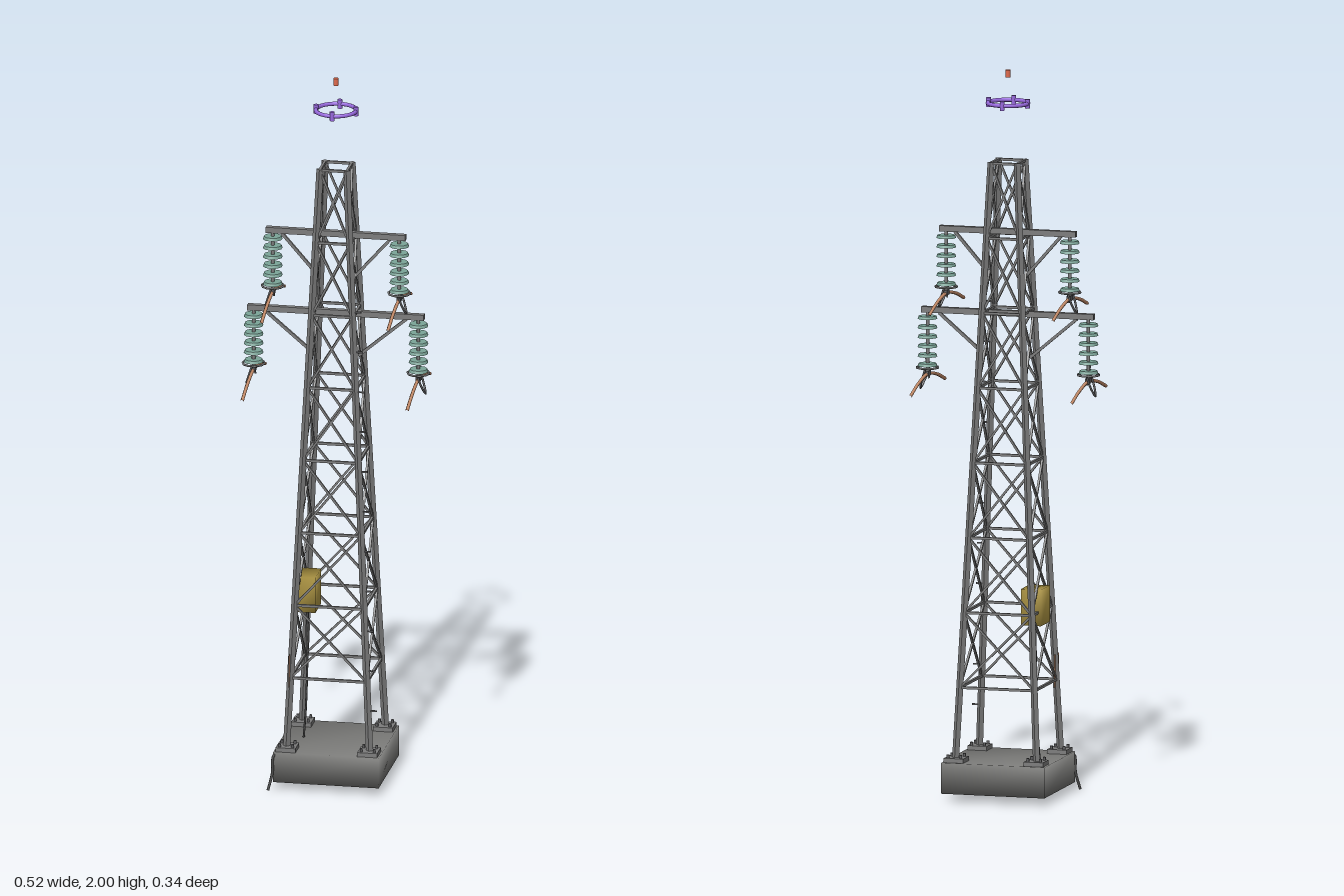
import * as THREE from 'three';
import { mergeVertices } from 'three/addons/utils/BufferGeometryUtils.js';

const material = (name, color) => {
  const m = new THREE.MeshStandardMaterial({ color });
  m.name = name;
  return m;
};
const V = (x, y, z) => new THREE.Vector3(x, y, z);

export function createModel() {
  const model = new THREE.Group();
  model.name = 'transmissionTower';

  const concrete = material('concrete', 0x7a7a78);
  const steel = material('steel', 0x7c7c7c);
  const darkSteel = material('darkSteel', 0x606062);
  const glass = material('tealGlass', 0x7ba598);
  const copper = material('copper', 0xc98f6c);
  const yellow = material('yellowPaint', 0xb39a45);
  const purple = material('purple', 0x9a6be0);
  const red = material('beaconRed', 0xe06a4c);
  const rubber = material('rubber', 0x4a4a4a);
  const signTan = material('signTan', 0xcf9a78);
  signTan.side = THREE.DoubleSide;

  const group = (name, parent = model) => {
    const g = new THREE.Group();
    g.name = name;
    parent.add(g);
    return g;
  };
  const add = (parent, name, geometry, mat, x = 0, y = 0, z = 0) => {
    const mesh = new THREE.Mesh(geometry, mat);
    mesh.name = name;
    mesh.position.set(x, y, z);
    parent.add(mesh);
    return mesh;
  };
  // Square bar between two points
  const beam = (parent, name, a, b, w, mat = steel) => {
    const mesh = add(parent, name, new THREE.BoxGeometry(w, w, a.distanceTo(b)), mat);
    mesh.position.copy(a).add(b).multiplyScalar(0.5);
    mesh.lookAt(b);
    return mesh;
  };
  const tube = (parent, name, points, r, mat) =>
    add(parent, name, new THREE.TubeGeometry(new THREE.CatmullRomCurve3(points), 14, r, 6), mat);
  // Box whose corner normals are blended
  const softBox = (w, h, d) => {
    const g = new THREE.BoxGeometry(w, h, d);
    g.deleteAttribute('normal');
    g.deleteAttribute('uv');
    const merged = mergeVertices(g);
    merged.computeVertexNormals();
    return merged;
  };

  // Tower taper
  const Y0 = 0.11, Y1 = 1.75, PANELS = 8;
  const half = (y) => 0.115 + ((y - Y0) / (Y1 - Y0)) * (0.037 - 0.115);
  const corners = [[1, 1], [1, -1], [-1, -1], [-1, 1]];
  const at = ([sx, sz], y) => V(sx * half(y), y, sz * half(y));

  // Foundation with bolted foot plates
  add(model, 'foundation', softBox(0.292, 0.085, 0.292), concrete, 0, 0.0665, 0);
  const feet = group('feet');
  for (const [sx, sz] of corners) {
    add(feet, 'footPlate', new THREE.BoxGeometry(0.055, 0.012, 0.055), steel, sx * 0.113, 0.115, sz * 0.113);
    for (const [bx, bz] of corners) {
      add(feet, 'bolt', new THREE.CylinderGeometry(0.004, 0.004, 0.01, 6), darkSteel,
        sx * 0.113 + bx * 0.018, 0.125, sz * 0.113 + bz * 0.018);
    }
  }

  // Legs
  const legs = group('legs');
  for (const c of corners) beam(legs, 'leg', at(c, Y0), at(c, Y1), 0.014);

  // Horizontal bars and crossed braces on all four faces
  const lattice = group('lattice');
  const step = (Y1 - Y0) / PANELS;
  for (let i = 1; i <= PANELS; i++) {
    const y = Y0 + i * step - 0.003;
    corners.forEach((c, k) => {
      const next = corners[(k + 1) % 4];
      beam(lattice, 'horizontalBar', at(c, y), at(next, y), 0.007);
      if (i < PANELS) {
        beam(lattice, 'crossBrace', at(c, y), at(next, y + step), 0.006);
        beam(lattice, 'crossBrace', at(next, y), at(c, y + step), 0.006);
      }
    });
  }

  // Cross arms with hanging insulators and conductors
  const discGeometry = new THREE.CylinderGeometry(0.024, 0.027, 0.008, 10);
  const arms = [
    { y: 1.331, reach: 0.244, hang: 0.228, strut: 0.195 },
    { y: 1.556, reach: 0.193, hang: 0.175, strut: 0.15 },
  ];
  for (const { y, reach, hang, strut } of arms) {
    const arm = group('crossArm');
    beam(arm, 'armBar', V(-reach, y, 0), V(reach, y, 0), 0.016);
    for (const s of [-1, 1]) {
      beam(arm, 'armStrut', V(s * strut, y - 0.008, 0), V(s * half(y - 0.12), y - 0.12, 0), 0.008);

      const string = group('insulator', arm);
      string.position.set(s * hang, y, 0);
      add(string, 'rod', new THREE.CylinderGeometry(0.005, 0.005, 0.175, 8), steel, 0, -0.088, 0);
      for (let i = 0; i < 6; i++) add(string, 'disc', discGeometry, glass, 0, -0.022 - i * 0.026, 0);
      const ring = add(string, 'gradingRing', new THREE.TorusGeometry(0.03, 0.003, 6, 10), steel, 0, -0.16, 0);
      ring.rotation.x = Math.PI / 2;
      for (const [a, b] of [[1, 0], [0, 1]]) {
        beam(string, 'ringSpoke', V(-a * 0.03, -0.16, -b * 0.03), V(a * 0.03, -0.16, b * 0.03), 0.004);
      }
      // Looped horn leaning outward
      tube(string, 'arcingHorn', [V(0, -0.16, -0.02), V(s * 0.01, -0.19, -0.018),
        V(s * 0.02, -0.218, 0), V(s * 0.01, -0.19, 0.018), V(0, -0.16, 0.02)], 0.003, darkSteel);
      add(string, 'clamp', new THREE.BoxGeometry(0.012, 0.014, 0.022), darkSteel, 0, -0.176, 0);
      tube(string, 'conductor', [V(0, -0.216, -0.167), V(0, -0.192, -0.09), V(0, -0.178, 0),
        V(0, -0.192, 0.09), V(0, -0.216, 0.167)], 0.0048, copper);
    }
  }

  // Climbing pegs on one leg
  const pegs = group('climbingPegs');
  for (let i = 0; i < 11; i++) {
    const y = 0.232 + i * 0.112, h = half(y);
    beam(pegs, 'peg', V(h, y, h), V(h + 0.025, y, h), 0.004, darkSteel);
  }

  // Equipment box, its cable, and the thin sign on the leg
  add(model, 'equipmentBox', softBox(0.057, 0.1, 0.084), yellow, -0.0775, 0.53, 0);
  tube(model, 'boxCable', [V(-0.078, 0.49, 0), V(-0.079, 0.35, 0), V(-0.083, 0.2, 0), V(-0.09, 0.1, 0)], 0.003, rubber);
  add(model, 'signPlate', new THREE.PlaneGeometry(0.048, 0.09), signTan, -0.106, 0.337, 0.108).rotation.y = -Math.PI / 2;

  // Grounding wire over the foundation corner
  tube(model, 'groundWire', [V(-0.125, 0.113, 0.125), V(-0.145, 0.1, 0.145),
    V(-0.148, 0.05, 0.148), V(-0.158, 0.004, 0.158)], 0.004, rubber);

  // Floating ring with four nodes, and the beacon above it
  const halo = group('halo');
  halo.position.y = 1.909;
  add(halo, 'haloRing', new THREE.TorusGeometry(0.055, 0.0058, 8, 32), purple).rotation.x = Math.PI / 2;
  for (let i = 0; i < 4; i++) {
    const a = (i * Math.PI) / 2;
    add(halo, 'haloNode', new THREE.CylinderGeometry(0.007, 0.007, 0.025, 8), purple,
      Math.cos(a) * 0.055, 0, Math.sin(a) * 0.055);
  }
  add(model, 'beacon', new THREE.CylinderGeometry(0.007, 0.007, 0.02, 10), red, 0, 1.99, 0);

  return model;
}
